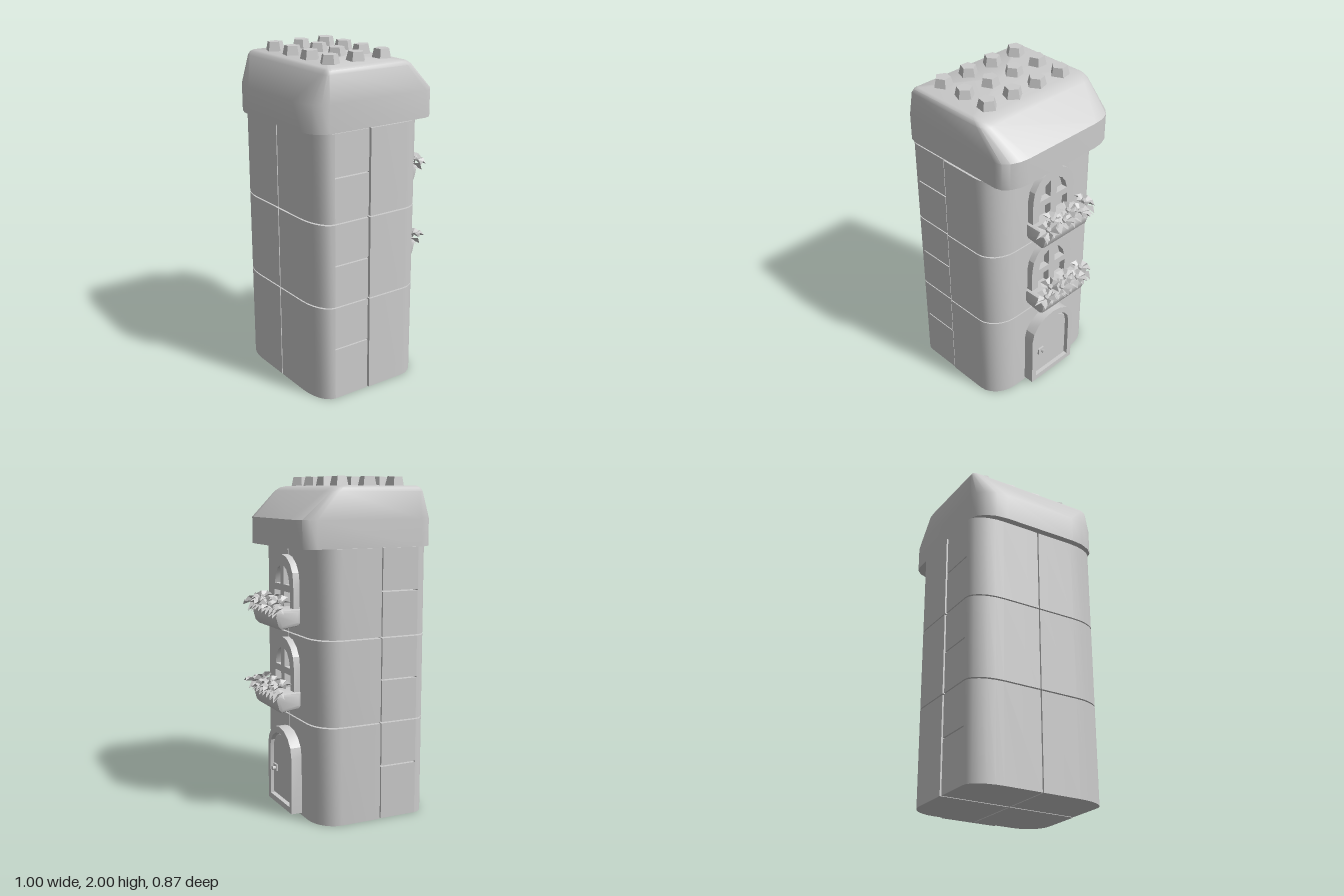
import * as THREE from 'three';
import { toCreasedNormals } from 'three/addons/utils/BufferGeometryUtils.js';

const stone = new THREE.MeshStandardMaterial({ color: 0xcccccc });
stone.name = 'grey stone';
const foliage = new THREE.MeshStandardMaterial({ color: 0xcccccc, side: THREE.DoubleSide, flatShading: true });
foliage.name = 'grey foliage';

let seed = 7;
const rand = () => (seed = (seed * 16807) % 2147483647) / 2147483647 - 0.5;

function add(parent, name, geometry, material = stone) {
  const mesh = new THREE.Mesh(geometry, material);
  mesh.name = name;
  parent.add(mesh);
  return mesh;
}

// Quarter-ellipse corner points from angle a0 to a1
function corner(cx, cz, rx, rz, a0, a1, n = 4) {
  return Array.from({ length: n + 1 }, (_, i) => {
    const a = a0 + ((a1 - a0) * i) / n;
    return new THREE.Vector2(cx + rx * Math.cos(a), cz + rz * Math.sin(a));
  });
}

// Upright block with a plan outline in (x, z)
function block(plan, y0, y1, side) {
  const shape = new THREE.Shape(plan.map(p => new THREE.Vector2(p.x, -p.y * side)));
  const g = new THREE.ExtrudeGeometry(shape, { depth: y1 - y0, bevelEnabled: false });
  g.rotateX(-Math.PI / 2).translate(0, y0, 0);
  return toCreasedNormals(g, 0.6);
}

// Plate on the +x wall, drawn in (-z, y)
function wallPlate(shape, x0, depth, bevel = 0) {
  const g = new THREE.ExtrudeGeometry(shape, {
    depth: depth - bevel, bevelEnabled: bevel > 0, bevelSize: bevel, bevelThickness: bevel,
    bevelOffset: -bevel, bevelSegments: 1,
  });
  g.rotateY(Math.PI / 2).translate(x0, 0, 0);
  return toCreasedNormals(g, 0.4);
}

// Arched outline
function arch(halfWidth, bottom, spring, top, Type = THREE.Shape) {
  const pts = corner(0, spring, halfWidth, top - spring, 0, Math.PI, 8);
  return new Type([new THREE.Vector2(-halfWidth, bottom), new THREE.Vector2(halfWidth, bottom), ...pts]);
}

// Roof skin from stacked plan loops
function loft(rows) {
  const pos = [], idx = [], H = Math.PI / 2;
  const loops = rows.map(([y, x0, x1, z, lx, lz, rx, rz]) => [
    ...corner(x1 - rx, z - rz, rx, rz, 0, H),
    ...corner(x0 + lx, z - lz, lx, lz, H, 2 * H),
    ...corner(x0 + lx, lz - z, lx, lz, 2 * H, 3 * H),
    ...corner(x1 - rx, rz - z, rx, rz, 3 * H, 4 * H),
  ].map(p => [p.x, y, p.y]));
  const n = loops[0].length, m = loops.length;
  loops.forEach(l => l.forEach(p => pos.push(...p)));
  pos.push(-0.06, rows[0][0], 0, -0.12, rows[m - 1][0] + 0.005, 0);
  for (let i = 0; i < n; i++) {
    const k = (i + 1) % n;
    for (let j = 0; j < m - 1; j++) {
      const a = j * n + i, b = j * n + k, c = a + n, d = b + n;
      idx.push(a, c, d, a, d, b);
    }
    idx.push(m * n, i, k, m * n + 1, (m - 1) * n + k, (m - 1) * n + i);
  }
  const g = new THREE.BufferGeometry();
  g.setAttribute('position', new THREE.Float32BufferAttribute(pos, 3));
  g.setIndex(idx);
  return toCreasedNormals(g, 0.65);
}

// Open blossom with alternating petal tips and notches
function flowerGeometry(r) {
  const g = new THREE.CircleGeometry(r, 12).rotateX(-Math.PI / 2);
  const p = g.attributes.position;
  for (let i = 1; i < p.count; i++) {
    const k = i % 2 ? 1 : 0.68;
    p.setXYZ(i, p.getX(i) * k, i % 2 ? r * 0.2 : r * 0.45, p.getZ(i) * k);
  }
  return g;
}

function createWindow(baseY) {
  const g = new THREE.Group();
  g.name = 'windowWithPlanter';
  // Frame with four panes left open
  const frame = arch(0.165, 0.06, 0.26, 0.42);
  for (const s of [-1, 1]) {
    const lower = [[0.025, 0.11], [0.115, 0.11], [0.115, 0.205], [0.025, 0.205]];
    const upper = [[0.025, 0.245], [0.11, 0.245], [0.095, 0.295], [0.065, 0.335], [0.025, 0.355]];
    for (const hole of [lower, upper])
      frame.holes.push(new THREE.Path(hole.map(([u, v]) => new THREE.Vector2(u * s, v))));
  }
  add(g, 'windowFrame', wallPlate(frame, 0.265, 0.045));

  // Planter trough
  const trough = new THREE.Shape([[0.27, 0.03], [0.285, 0.015], [0.395, 0.0], [0.415, 0.02],
    [0.43, 0.075], [0.42, 0.115], [0.27, 0.115]].map(([x, y]) => new THREE.Vector2(x, y)));
  const tg = new THREE.ExtrudeGeometry(trough, {
    depth: 0.33, bevelSize: 0.02, bevelThickness: 0.02, bevelOffset: -0.02, bevelSegments: 2,
  }).translate(0, 0, -0.165);
  add(g, 'planter', toCreasedNormals(tg, 0.7));

  // Blossoms, alternating front and back
  for (let i = 0; i < 6; i++) {
    const z = -0.165 + i * 0.066;
    const f = add(g, 'flower', flowerGeometry(0.066), foliage);
    f.position.set(i % 2 ? 0.43 : 0.395, 0.135 + (i % 2 ? 0 : 0.02), z);
    f.rotation.set(z * 1.5 + rand() * 0.3, rand() * 2, -0.3 + rand() * 0.3);
    const heart = add(g, 'flowerHeart', new THREE.IcosahedronGeometry(0.018, 0), foliage);
    heart.position.copy(f.position).y += 0.01;
  }
  // Pointed leaves hanging over the rim
  for (let i = 0; i < 8; i++) {
    const z = -0.175 + i * 0.05;
    const leaf = new THREE.BufferGeometry().setFromPoints([
      [0.38, 0.125, z], [0.43, 0.125, z - 0.035], [0.455, 0.08 + rand() * 0.02, z * 1.12],
      [0.38, 0.125, z], [0.455, 0.08 + rand() * 0.02, z * 1.12], [0.43, 0.125, z + 0.035],
    ].map(p => new THREE.Vector3(...p)));
    leaf.computeVertexNormals();
    add(g, 'leaf', leaf, foliage);
  }
  for (const s of [-1, 1]) {
    const leaf = add(g, 'sideLeaf', new THREE.ConeGeometry(0.035, 0.1, 4), foliage);
    leaf.scale.z = 0.4;
    leaf.position.set(0.4, 0.11, s * 0.185);
    leaf.rotation.set(s * 1.85, 0, 0);
  }
  g.position.y = baseY;
  return g;
}

function createDoor() {
  const g = new THREE.Group();
  g.name = 'door';
  const frame = arch(0.18, 0.015, 0.36, 0.51);
  frame.holes.push(arch(0.145, 0.05, 0.35, 0.47, THREE.Path));
  add(g, 'doorFrame', wallPlate(frame, 0.265, 0.072));
  add(g, 'doorPanel', wallPlate(arch(0.139, 0.056, 0.345, 0.462), 0.265, 0.055, 0.006));
  add(g, 'handlePlate', new THREE.BoxGeometry(0.015, 0.042, 0.045).translate(0.323, 0.23, 0.092));
  const knob = new THREE.CylinderGeometry(0.014, 0.01, 0.025, 8).rotateZ(-Math.PI / 2);
  add(g, 'doorKnob', knob.translate(0.338, 0.228, 0.085));
  return g;
}

export function createModel() {
  const model = new THREE.Group();
  model.name = 'tower';
  const V = (x, z) => new THREE.Vector2(x, z), H = Math.PI / 2, gap = 0.004;

  // Quarter plans: rounded right block, curved left block, slit left side block
  const rightPlan = [V(-0.12, gap), V(0.27, gap), ...corner(0.13, 0.265, 0.14, 0.17, 0, H, 6), V(-0.12, 0.435)];
  const leftPlan = [...corner(-0.36, 0.24, 0.1, 0.19, H, 2 * H, 6), V(-0.46, gap), V(-0.36, gap)];
  const sidePlan = [V(-0.36, gap), V(-0.36, 0.43), V(-0.13, 0.43), V(-0.13, gap)];
  const storeys = [[0, 0.58, 0.32], [0.588, 1.083, 0.838], [1.091, 1.6, 1.353]];
  for (const [y0, y1, slit] of storeys)
    for (const side of [1, -1]) {
      add(model, 'rightWallBlock', block(rightPlan, y0, y1, side));
      add(model, 'leftWallBlock', block(leftPlan, y0, y1, side));
      add(model, 'lowerSideBlock', block(sidePlan, y0, slit - 0.004, side));
      add(model, 'upperSideBlock', block(sidePlan, slit + 0.004, y1, side));
    }

  // Overhanging roof with sloped sides
  add(model, 'roof', loft([
    [1.6, -0.5, 0.375, 0.422, 0.115, 0.19, 0.1, 0.16],
    [1.76, -0.5, 0.375, 0.422, 0.115, 0.19, 0.1, 0.16],
    [1.915, -0.405, 0.2, 0.418, 0.025, 0.05, 0.06, 0.07],
    [1.935, -0.39, 0.165, 0.408, 0.02, 0.03, 0.05, 0.05],
    [1.945, -0.375, 0.12, 0.39, 0.02, 0.02, 0.04, 0.04],
  ]));

  // Rows of five-sided studs on the roof
  for (const x of [-0.285, -0.108, 0.07])
    for (const z of [-0.28, -0.095, 0.088, 0.275]) {
      const g = new THREE.CylinderGeometry(0.045, 0.064, 0.08, 5).toNonIndexed();
      g.computeVertexNormals();
      const stud = add(model, 'roofStud', g);
      stud.position.set(x, 1.958, z);
      stud.rotation.set(rand() * 0.06, rand() * 6, rand() * 0.06);
    }

  model.add(createDoor(), createWindow(0.64), createWindow(1.13));
  return model;
}
